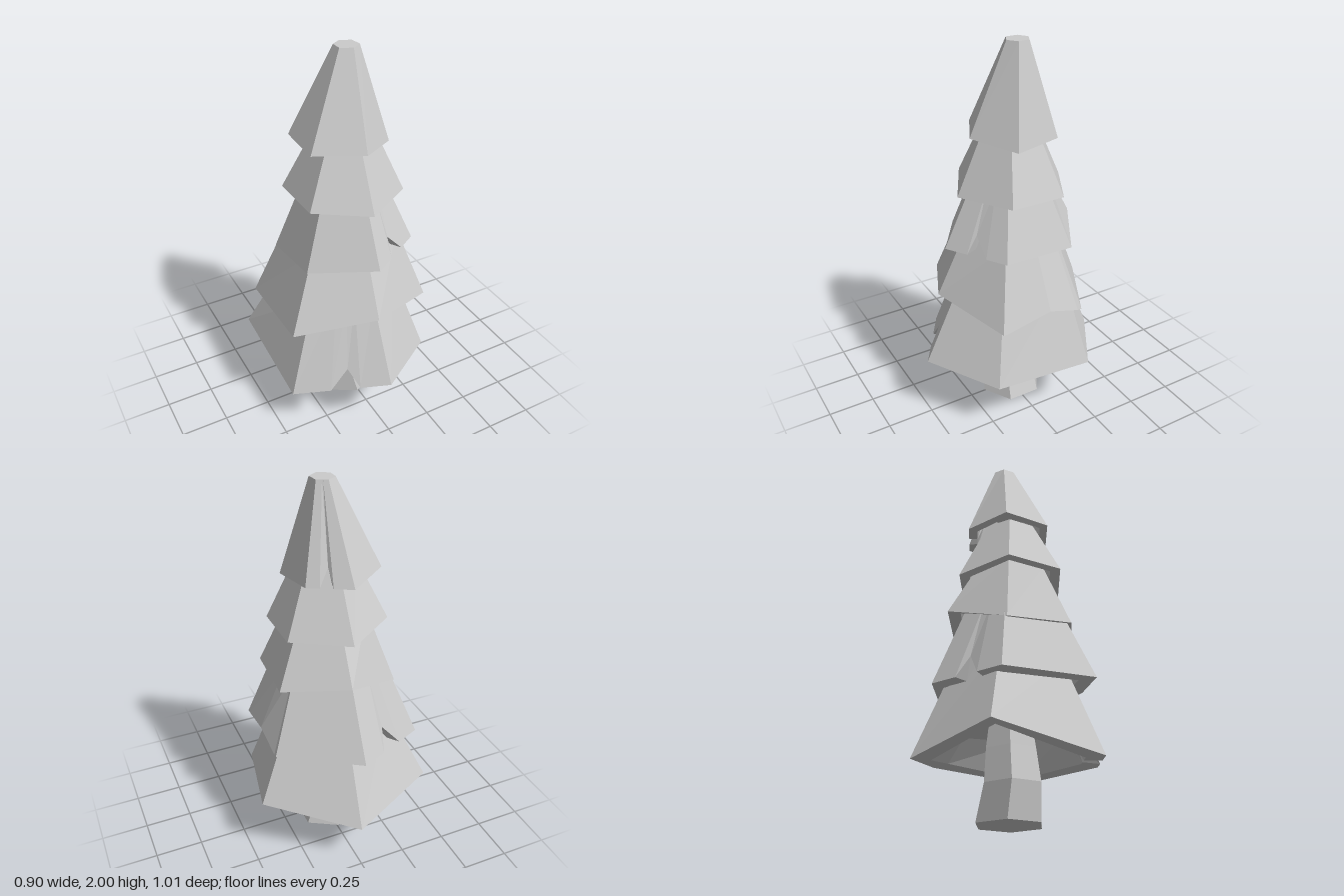
import * as THREE from 'three';

const polar = (degrees, radius, y, x = 0, z = 0) => {
  const a = THREE.MathUtils.degToRad(degrees);
  return new THREE.Vector3(x + Math.sin(a) * radius, y, z - Math.cos(a) * radius);
};

// Skin a chain of equal-length loops, closing both ends with a fan to the loop's middle.
function skin(name, loops, material) {
  const middle = (loop) => {
    const c = new THREE.Vector3();
    loop.forEach((p) => c.add(p));
    c.divideScalar(loop.length);
    return loop.map(() => c);
  };
  const chain = [middle(loops[0]), ...loops, middle(loops[loops.length - 1])];
  const pos = [];
  const tri = (a, b, c) => {
    if (a.equals(b) || b.equals(c) || a.equals(c)) return;
    for (const p of [a, b, c]) pos.push(p.x, p.y, p.z);
  };
  for (let s = 0; s < chain.length - 1; s++) {
    const [a, b] = [chain[s], chain[s + 1]];
    for (let i = 0; i < a.length; i++) {
      const j = (i + 1) % a.length;
      tri(a[j], a[i], b[i]);
      tri(a[j], b[i], b[j]);
    }
  }
  const geometry = new THREE.BufferGeometry();
  geometry.setAttribute('position', new THREE.Float32BufferAttribute(pos, 3));
  geometry.computeVertexNormals();
  const mesh = new THREE.Mesh(geometry, material);
  mesh.name = name;
  return mesh;
}

// Hollow six-sided skirt of branches. Corners start at the back and go round by the model's left.
// radii and heights place the hem's corners; turn nudges their angles in degrees.
// A cut bends the hem of one side: it starts and ends at fractions of the side, with a raised, inset apex.
function makeTier(material, name, { radii, heights, turn, cuts = [], top, taper, shiftX = 0, shiftZ = 0 }) {
  const corners = radii.map((r, i) => polar(i * 60 + turn[i], r, heights[i]));
  const crownOf = (p) => new THREE.Vector3(p.x * taper + shiftX, top, p.z * taper + shiftZ);
  const hem = [], crown = [];
  corners.forEach((corner, i) => {
    const next = corners[(i + 1) % corners.length];
    hem.push(corner);
    crown.push(crownOf(corner));
    for (const cut of cuts.filter((c) => c.side === i)) {
      [cut.start, cut.apex, cut.end].forEach((t, n) => {
        const p = corner.clone().lerp(next, t);
        crown.push(crownOf(p));
        if (n === 1) {
          const s = 1 - cut.inset / Math.hypot(p.x, p.z);
          p.set(p.x * s, p.y + cut.rise, p.z * s);
        }
        hem.push(p);
      });
    }
  });
  const rim = hem.map((p) => new THREE.Vector3(p.x * 0.8, p.y + 0.005, p.z * 0.8));
  const roofY = Math.min(...heights) + 0.22;
  const roof = hem.map((p) => new THREE.Vector3(p.x * 0.6, roofY, p.z * 0.6));
  return skin(name, [roof, rim, hem, crown], material);
}

// Bent six-sided trunk
function makeTrunk(material) {
  const ring = (y, x, radius) =>
    Array.from({ length: 6 }, (_, i) => polar(i * 60, radius, y, x, -0.01));
  return skin('trunk', [
    ring(0, -0.006, 0.174),
    ring(0.18, -0.047, 0.153),
    ring(0.35, -0.03, 0.137),
    ring(0.54, -0.02, 0.11),
  ], material);
}

export function createModel() {
  const material = new THREE.MeshStandardMaterial({ color: 0xcccccc, flatShading: true });
  const tree = new THREE.Group();
  tree.name = 'tree';
  tree.add(makeTrunk(material));
  const tier = (name, options) => tree.add(makeTier(material, name, options));

  tier('bottomTier', {
    radii: [0.51, 0.5, 0.436, 0.505, 0.512, 0.562],
    heights: [0.26, 0.355, 0.3, 0.34, 0.26, 0.35],
    turn: [1, 4, 7, 0, 1, 6],
    cuts: [{ side: 3, start: 0.31, apex: 0.44, end: 0.61, rise: 0.1, inset: 0.045 }],
    top: 0.76, taper: 0.6,
  });
  tier('lowerTier', {
    radii: [0.441, 0.426, 0.429, 0.411, 0.486, 0.497],
    heights: [0.62, 0.645, 0.635, 0.72, 0.64, 0.61],
    turn: [-5, -1, 4, 4, 1, 2],
    cuts: [
      { side: 1, start: 0.05, apex: 0.43, end: 0.95, rise: 0.06, inset: -0.012 },
      { side: 5, start: 0.34, apex: 0.53, end: 0.65, rise: 0.115, inset: 0.055 },
    ],
    top: 1.04, taper: 0.62,
  });
  tier('middleTier', {
    radii: [0.355, 0.36, 0.344, 0.37, 0.358, 0.367],
    heights: [1.04, 1, 0.99, 0.99, 0.96, 0.915],
    turn: [1, 1, 2, 1, 0, 0],
    cuts: [{ side: 2, start: 0.33, apex: 0.57, end: 0.64, rise: 0.095, inset: 0.045 }],
    top: 1.32, taper: 0.57,
  });
  tier('upperTier', {
    radii: [0.31, 0.303, 0.293, 0.295, 0.309, 0.316],
    heights: [1.25, 1.26, 1.26, 1.26, 1.28, 1.28],
    turn: [-4, -1, -3, 0, 1, -1],
    top: 1.6, taper: 0.47,
  });
  tier('topTier', {
    radii: [0.273, 0.24, 0.217, 0.22, 0.255, 0.276],
    heights: [1.53, 1.535, 1.515, 1.55, 1.55, 1.56],
    turn: [-8, -15, -11, 0, 7, 2],
    cuts: [{ side: 0, start: 0.43, apex: 0.53, end: 0.71, rise: 0.09, inset: 0.04 }],
    top: 2, taper: 0.25, shiftX: 0.027, shiftZ: -0.022,
  });
  return tree;
}
